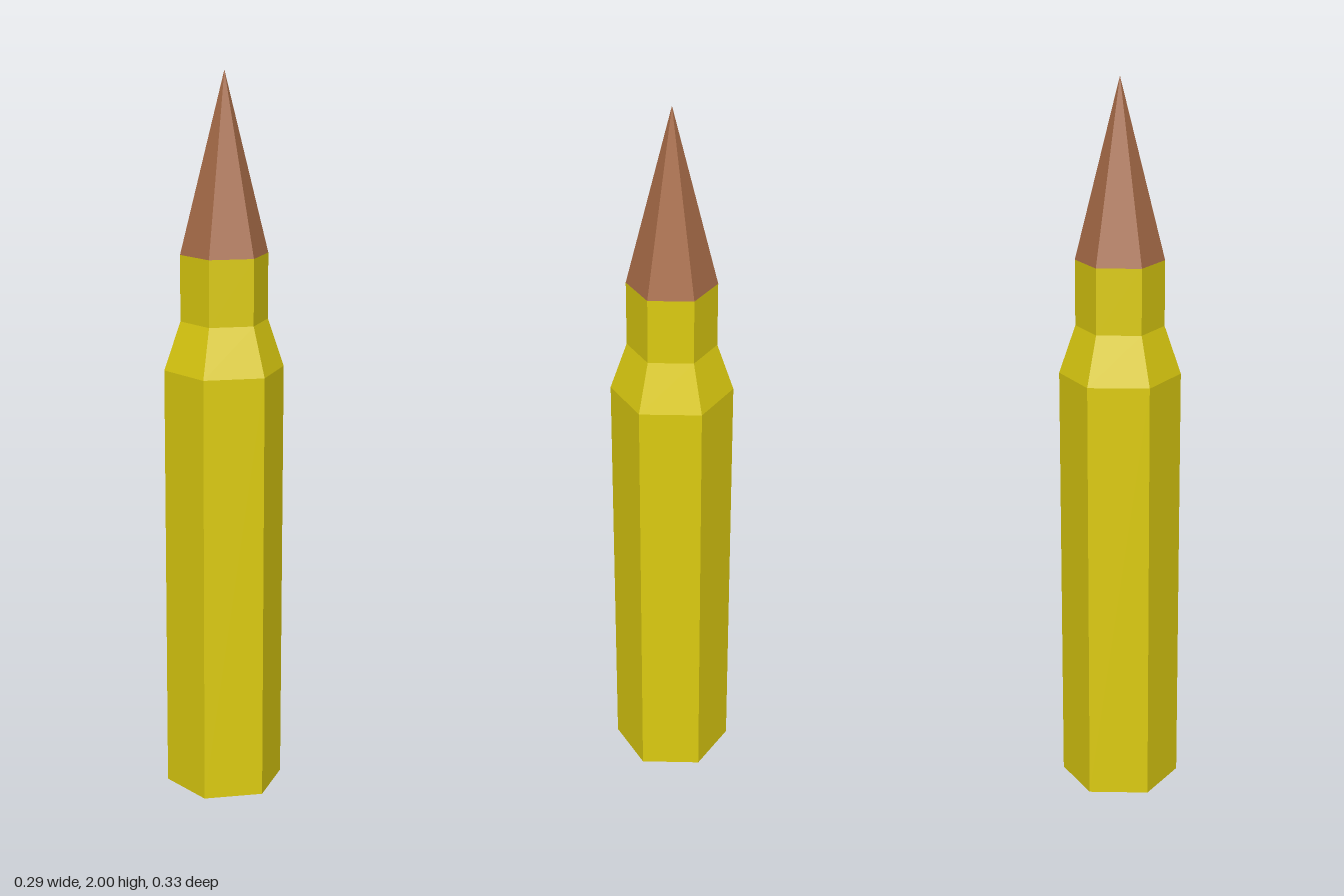
import * as THREE from 'three';

const SIDES = 6;

export function createModel() {
  const group = new THREE.Group();
  const brass = new THREE.MeshStandardMaterial({ color: 0xdccb10, flatShading: true });
  const copper = new THREE.MeshStandardMaterial({ color: 0xa86c48, flatShading: true });

  // One six-sided section from height y0 to y1, with corners on the z axis
  function section(name, r0, r1, y0, y1, material, open = true) {
    const geometry = r1 === 0
      ? new THREE.ConeGeometry(r0, y1 - y0, SIDES, 1, open)
      : new THREE.CylinderGeometry(r1, r0, y1 - y0, SIDES, 1, open);
    const mesh = new THREE.Mesh(geometry, material);
    mesh.name = name;
    mesh.position.y = (y0 + y1) / 2;
    group.add(mesh);
  }

  // Casing: body, tapered shoulder and neck
  section('caseBody', 0.165, 0.165, 0, 1.205, brass);
  section('caseShoulder', 0.165, 0.12, 1.205, 1.338, brass);
  section('caseNeck', 0.12, 0.12, 1.338, 1.518, brass);

  // Pointed tip
  section('tip', 0.12, 0, 1.518, 2, copper);

  // Flat base, facing down
  const base = new THREE.Mesh(new THREE.CircleGeometry(0.165, SIDES, Math.PI / 2), brass);
  base.name = 'caseBase';
  base.rotation.x = Math.PI / 2;
  group.add(base);

  return group;
}
